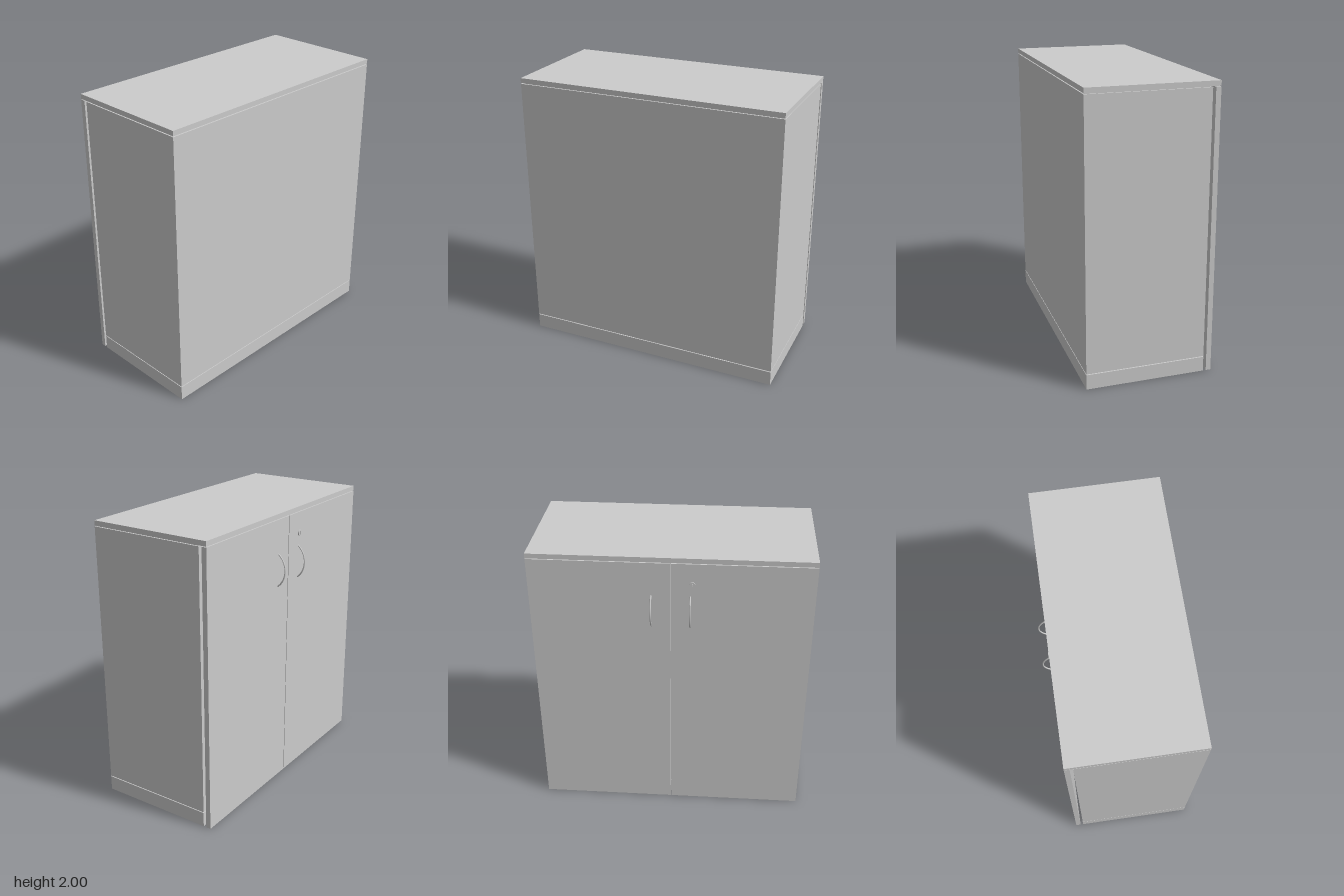
import * as THREE from 'three';

const material = new THREE.MeshStandardMaterial({ color: 0xcccccc });

// Box given by its lower and upper corner
function addBox(parent, name, [x0, y0, z0], [x1, y1, z1]) {
  const mesh = new THREE.Mesh(new THREE.BoxGeometry(x1 - x0, y1 - y0, z1 - z0), material);
  mesh.position.set((x0 + x1) / 2, (y0 + y1) / 2, (z0 + z1) / 2);
  mesh.name = name;
  parent.add(mesh);
}

// Bow handle: circular arc in the x-y plane, ends set into the door
function handleGeometry() {
  const points = [];
  const half = 0.93;
  for (let i = 0; i <= 16; i++) {
    const a = -half + (2 * half * i) / 16;
    points.push(new THREE.Vector3(-0.325 - 0.145 * Math.cos(a), 1.61 + 0.145 * Math.sin(a), 0));
  }
  return new THREE.TubeGeometry(new THREE.CatmullRomCurve3(points), 32, 0.005, 10);
}

export function createModel() {
  const model = new THREE.Group();
  model.name = 'cabinet';
  const back = 0.472, front = -0.36, doorFront = -0.416, side = 0.945;

  // Carcass: plinth and body, with a recessed core showing as shadow gaps
  addBox(model, 'plinth', [front, 0, -side], [back, 0.105, side]);
  addBox(model, 'body', [front, 0.111, -side], [back, 1.96, side]);
  addBox(model, 'core', [front + 0.012, 0.05, -side + 0.012], [back - 0.012, 1.98, side - 0.012]);
  addBox(model, 'top', [doorFront, 1.966, -side], [back, 2, side]);

  // Pair of doors standing off the body, each with a handle near the middle
  const handle = handleGeometry();
  for (const s of [-1, 1]) {
    const label = s > 0 ? 'front' : 'rear';
    const z = [s * 0.003, s * side].sort((a, b) => a - b);
    addBox(model, label + 'Door', [doorFront, 0, z[0]], [-0.381, 1.961, z[1]]);
    const mesh = new THREE.Mesh(handle, material);
    mesh.name = label + 'Handle';
    mesh.position.z = s * 0.13;
    model.add(mesh);
  }

  // Lock: round plate with a small keyway bar
  const lock = new THREE.Group();
  lock.name = 'lock';
  const plate = new THREE.Mesh(new THREE.CylinderGeometry(0.022, 0.022, 0.008, 24), material);
  plate.name = 'lockPlate';
  plate.rotation.z = Math.PI / 2;
  lock.add(plate);
  addBox(lock, 'keyway', [-0.006, -0.012, -0.003], [0, 0.012, 0.003]);
  lock.position.set(doorFront - 0.003, 1.812, 0.142);
  model.add(lock);

  return model;
}
